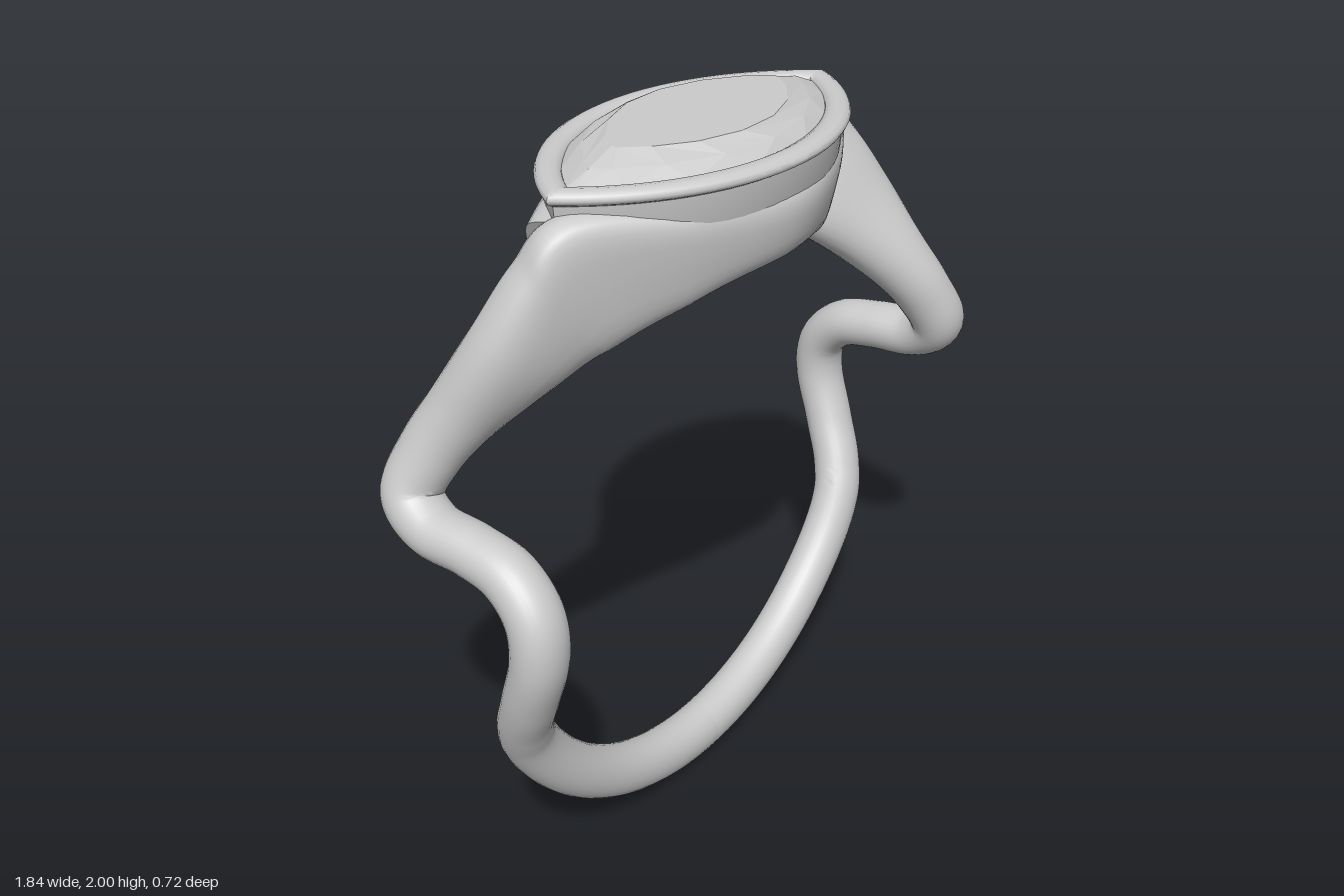
import * as THREE from 'three';
import { toCreasedNormals } from 'three/addons/utils/BufferGeometryUtils.js';

const metal = new THREE.MeshStandardMaterial({ color: 0xcccccc });
const facet = new THREE.MeshStandardMaterial({ color: 0xcccccc, flatShading: true });
const AXIS_Y = 0.92; // height of the finger hole's axis

// Skin a list of equal-length point loops; closed joins the last loop to the first
function loft(rings, closed = false) {
  const n = rings[0].length, index = [];
  const count = closed ? rings.length : rings.length - 1;
  for (let i = 0; i < count; i++) {
    const k = (i + 1) % rings.length;
    for (let j = 0; j < n; j++) {
      const m = (j + 1) % n;
      const a = i * n + j, b = i * n + m, c = k * n + j, d = k * n + m;
      index.push(a, b, c, b, d, c);
    }
  }
  const g = new THREE.BufferGeometry().setFromPoints(rings.flat());
  g.setIndex(index);
  g.computeVertexNormals();
  return g;
}

// Pointed oval of half-length a and half-width b made of two circular arcs
function leaf(a, b, y, n = 72, shift = 0) {
  const R = (a * a + b * b) / (2 * b), pts = [];
  for (let j = 0; j < n; j++) {
    const t = ((j + shift) / n) * Math.PI * 2;
    const x = a * Math.cos(t);
    const z = Math.max(0, Math.sqrt(R * R - x * x) - (R - b));
    pts.push(new THREE.Vector3(x, y, z * Math.sign(Math.sin(t))));
  }
  return pts;
}

// Leaf loop bent onto a cylinder around the finger hole
function bentLeaf(a, b, r) {
  return leaf(a, b, 0).map((p) => p.setY(AXIS_Y + Math.sqrt(r * r - p.x * p.x)));
}

// Strand stations: angle from the bottom, inner radius, outer radius, inner z, outer z, half-width
const stations = [
  [0, 0.768, 0.92, 0, 0, 0.07],
  [20, 0.768, 0.92, 0, 0, 0.07],
  [40, 0.768, 0.92, 0, 0, 0.07],
  [60, 0.768, 0.92, 0, 0, 0.07],
  [69, 0.768, 0.92, -0.03, -0.03, 0.07],
  [78, 0.768, 0.92, -0.088, -0.088, 0.07],
  [88, 0.765, 0.92, -0.14, -0.14, 0.07],
  [96, 0.765, 0.92, -0.13, -0.13, 0.07],
  [101.5, 0.768, 0.92, -0.05, -0.05, 0.07],
  [103.5, 0.77, 0.922, 0.07, 0.07, 0.068],
  [104.5, 0.772, 0.93, 0.2, 0.2, 0.07],
  [109, 0.77, 0.933, 0.28, 0.28, 0.076],
  [117, 0.765, 0.932, 0.25, 0.25, 0.083],
  [125, 0.76, 0.957, 0.18, 0.19, 0.088],
  [135, 0.757, 1.03, 0.075, 0.095, 0.093],
  [143, 0.756, 1.088, 0, 0.035, 0.083],
  [150, 0.755, 1.13, -0.075, -0.025, 0.065],
  [163, 0.753, 1.01, -0.165, -0.18, 0.06],
  [180, 0.753, 0.95, -0.225, -0.26, 0.058],
  [197, 0.753, 0.995, -0.165, -0.185, 0.056],
  [211, 0.754, 1.13, -0.075, -0.03, 0.045],
];

function strandGeometry() {
  const track = (a, b, c) => new THREE.CatmullRomCurve3(
    stations.map((s) => new THREE.Vector3(s[a], s[b], s[c])), false, 'catmullrom', 0.5);
  const radii = track(0, 1, 2), depths = track(3, 4, 5);
  const edge = (t, side) => {
    const p = radii.getPoint(t), a = THREE.MathUtils.degToRad(p.x);
    const r = side ? p.z : p.y, d = depths.getPoint(t);
    return new THREE.Vector3(r * Math.sin(a), AXIS_Y - r * Math.cos(a), side ? d.y : d.x);
  };
  const mid = (t) => edge(t, 0).add(edge(t, 1)).multiplyScalar(0.5);
  const steps = 180, sides = 28, rings = [];
  for (let i = 0; i <= steps; i++) {
    const t = i / steps, c = mid(t);
    const T = mid(Math.min(1, t + 0.003)).sub(mid(Math.max(0, t - 0.003)));
    const U = edge(t, 1).sub(edge(t, 0)).multiplyScalar(0.5);
    const w = depths.getPoint(t).z;
    const B = T.cross(U).normalize().multiplyScalar(w);
    // Round on the band, squarer where the strand becomes a tall wall
    const p = THREE.MathUtils.clamp(1.3 - 0.3 * (U.length() / w), 0.6, 1);
    const ring = [];
    for (let j = 0; j < sides; j++) {
      const q = (j / sides) * Math.PI * 2, cu = Math.cos(q), sb = Math.sin(q);
      ring.push(c.clone()
        .addScaledVector(U, Math.sign(cu) * Math.abs(cu) ** p)
        .addScaledVector(B, Math.sign(sb) * Math.abs(sb) ** p));
    }
    rings.push(ring);
  }
  // Flat cap at the head end
  rings.push(rings[steps].map(() => mid(1)));
  return toCreasedNormals(loft(rings), 0.9);
}

export function createModel() {
  const model = new THREE.Group();
  const add = (name, geometry, material = metal) => {
    const mesh = new THREE.Mesh(geometry, material);
    mesh.name = name;
    model.add(mesh);
    return mesh;
  };

  // Two identical strands, half a turn apart: band, twist, shoulder and head wall
  const strand = strandGeometry();
  add('leftStrand', strand);
  add('rightStrand', strand).rotation.y = Math.PI;

  // Rounded rim around the stone
  const rim = [];
  for (let i = 0; i < 12; i++) {
    const p = (i / 12) * Math.PI * 2, o = Math.cos(p);
    rim.push(leaf(0.54 + 0.04 * o, 0.283 + 0.036 * o, 1.942 - 0.02 * Math.sin(p)));
  }
  add('bezelRim', toCreasedNormals(loft(rim, true), 0.9));

  // Cup under the rim, flush with the walls and following the finger hole below
  const cup = [
    leaf(0.56, 0.302, 1.935), leaf(0.55, 0.295, 1.85), bentLeaf(0.44, 0.23, 0.76),
    bentLeaf(0.35, 0.14, 0.76), leaf(0.5, 0.25, 1.935),
  ];
  add('bezelCup', toCreasedNormals(loft(cup, true), 0.6));

  // Faceted stone, from table centre down to the keel
  const stone = [
    [0.001, 0.0005, 2, 0], [0.34, 0.18, 2, 0.5], [0.43, 0.225, 1.975, 0],
    [0.51, 0.26, 1.945, 0.5], [0.51, 0.26, 1.93, 0.5], [0.32, 0.14, 1.85, 0], [0.1, 0.01, 1.77, 0.5],
  ];
  add('stone', loft(stone.map(([a, b, y, s]) => leaf(a, b, y, 16, s))), facet);

  return model;
}
